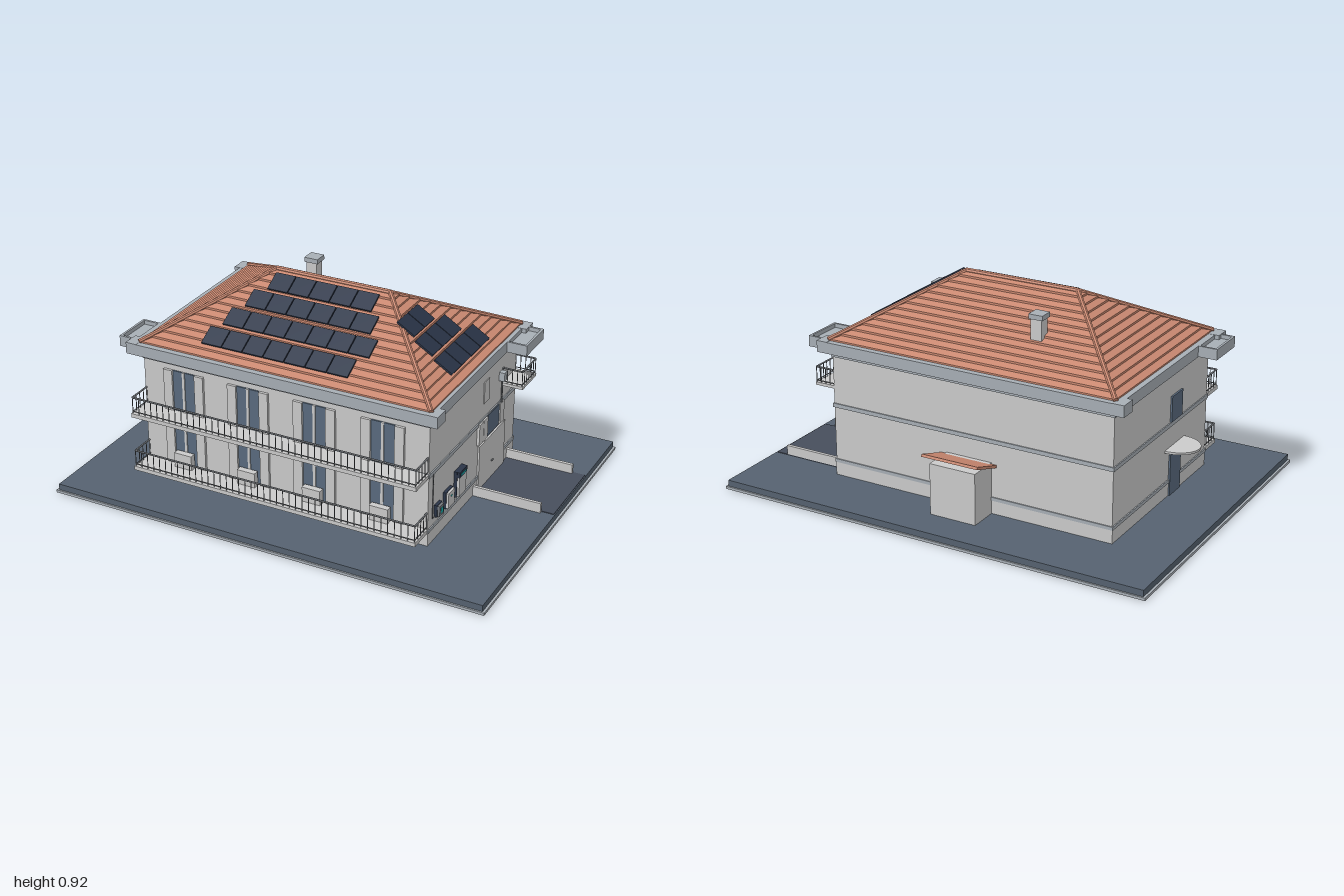
import * as THREE from 'three';
import { mergeGeometries } from 'three/addons/utils/BufferGeometryUtils.js';

const mat = (color, extra = {}) => new THREE.MeshStandardMaterial({ color, ...extra });
const grey = mat(0xcccccc), wall = mat(0xd6d7d9), trim = mat(0xa8afb6), paving = mat(0x566270);
const tile = mat(0xcc8a72, { side: THREE.DoubleSide, flatShading: true });
const glass = mat(0x5a6b7f), dark = mat(0x2b3548), iron = mat(0x777b80), asphalt = mat(0x474e5c), teal = mat(0x20b8b8);

// Box geometry from its minimum and maximum corners
const span = (x0, x1, y0, y1, z0, z1) => new THREE.BoxGeometry(x1 - x0, y1 - y0, z1 - z0)
  .translate((x0 + x1) / 2, (y0 + y1) / 2, (z0 + z1) / 2);

// Round bar between two points
function rod(a, b, r, sides = 8) {
  const A = new THREE.Vector3(...a), B = new THREE.Vector3(...b), d = B.clone().sub(A);
  const g = new THREE.CylinderGeometry(r, r, d.length(), sides);
  g.applyQuaternion(new THREE.Quaternion().setFromUnitVectors(new THREE.Vector3(0, 1, 0), d.normalize()));
  return g.translate(...A.add(B).multiplyScalar(0.5).toArray());
}

export function createModel() {
  const house = new THREE.Group();
  house.name = 'house';
  const add = (name, material, ...geos) => {
    const m = new THREE.Mesh(geos.length > 1 ? mergeGeometries(geos) : geos[0], material);
    m.name = name;
    house.add(m);
    return m;
  };
  const X0 = -0.71, X1 = 0.62, Z = 0.442;

  // Ground
  add('groundSlab', paving, span(-0.99, 0.99, 0.01, 0.04, -0.728, 0.728));
  add('groundLip', trim, span(-1, 1, 0, 0.012, -0.735, 0.735));

  // Walls and horizontal bands
  add('walls', wall, span(X0, X1, 0.04, 0.62, -Z, Z));
  const band = (y0, y1, e) => span(X0 - e, X1 + e, y0, y1, -Z - e, Z + e);
  add('plinth', grey, band(0.04, 0.1, 0.002));
  add('stringCourses', trim, band(0.1, 0.115, 0.005), band(0.355, 0.373, 0.005), band(0.585, 0.612, 0.005));

  // Eaves with wider corner blocks and hollow gutter boxes
  add('eaves', trim, span(-0.745, 0.645, 0.61, 0.66, -0.484, 0.484));
  const blocks = [];
  for (const s of [-1, 1]) {
    const [a, b] = s < 0 ? [-0.484, -0.41] : [0.41, 0.484];
    blocks.push(span(-0.77, -0.72, 0.61, 0.661, a, b), span(0.62, 0.67, 0.61, 0.661, a, b));
  }
  add('eaveCorners', trim, ...blocks);
  const tray = (x0, x1, z0, z1) => {
    const t = 0.01, y0 = 0.612, y1 = 0.66;
    add('eaveTray', trim, span(x0, x1, y0, y0 + 0.03, z0, z1),
      span(x0, x0 + t, y0, y1, z0, z1), span(x1 - t, x1, y0, y1, z0, z1),
      span(x0, x1, y0, y1, z0, z0 + t), span(x0, x1, y0, y1, z1 - t, z1));
  };
  tray(-0.83, -0.74, 0.255, 0.44);
  tray(0.64, 0.735, -0.45, -0.262);

  // Hipped roof of overlapping tile courses
  const BY = 0.658, TY = 0.905, courses = 13, verts = [];
  const ring = (t, lift) => {
    const x0 = THREE.MathUtils.lerp(-0.72, -0.31, t), x1 = THREE.MathUtils.lerp(0.63, 0.225, t);
    const z = 0.457 * (1 - t), y = BY + (TY - BY) * t + lift;
    return [[x0, y, z], [x1, y, z], [x1, y, -z], [x0, y, -z]];
  };
  const skirt = (lo, hi) => {
    for (let i = 0; i < 4; i++) {
      const j = (i + 1) % 4;
      verts.push(...lo[i], ...lo[j], ...hi[j], ...lo[i], ...hi[j], ...hi[i]);
    }
  };
  for (let i = 0; i < courses; i++) {
    const t0 = i / courses, t1 = (i + 1) / courses;
    skirt(ring(t0, 0), ring(t0, 0.009));
    skirt(ring(t0, 0.009), ring(t1, 0));
  }
  const roof = new THREE.BufferGeometry();
  roof.setAttribute('position', new THREE.Float32BufferAttribute(verts, 3));
  roof.computeVertexNormals();
  add('roofTiles', tile, roof);
  const ridgeL = [-0.31, TY, 0], ridgeR = [0.225, TY, 0], caps = [rod(ridgeL, ridgeR, 0.012)];
  for (const s of [-1, 1]) {
    caps.push(rod([-0.72, BY + 0.006, s * 0.457], ridgeL, 0.011), rod([0.63, BY + 0.006, s * 0.457], ridgeR, 0.011));
  }
  add('ridgeTiles', tile, ...caps);

  // Chimney
  add('chimney', grey, span(-0.29, -0.24, 0.74, 0.86, -0.272, -0.222));
  add('chimneyCap', trim, span(-0.297, -0.233, 0.855, 0.876, -0.279, -0.215));

  // Solar panels: [count, start, end, height]
  const panels = (rows, side) => rows.forEach(([n, a, b, y]) => {
    const w = (b - a) / n, run = side ? 0.405 : 0.457, tilt = Math.atan(0.247 / run);
    const out = (side ? 0.225 : 0) + run * (TY - y) / 0.247 + 0.008;
    const geos = [];
    for (let i = 0; i < n; i++) {
      const g = side ? new THREE.BoxGeometry(0.092, 0.008, w - 0.004) : new THREE.BoxGeometry(w - 0.004, 0.008, 0.09);
      const c = a + (i + 0.5) * w;
      side ? g.rotateZ(-tilt).translate(out, y + 0.01, c) : g.rotateX(tilt).translate(c, y + 0.01, out);
      geos.push(g);
    }
    add(side ? 'sideSolarRow' : 'frontSolarRow', dark, ...geos);
  });
  panels([[5, -0.295, 0.195, 0.869], [6, -0.35, 0.24, 0.818], [7, -0.4, 0.285, 0.764], [7, -0.445, 0.24, 0.71]], false);
  panels([[2, -0.04, 0.155, 0.822], [3, -0.11, 0.175, 0.766], [4, -0.19, 0.19, 0.709]], true);

  // Railing along a list of ground-plan points
  const railing = (pts, y0, y1, step) => {
    const geos = [];
    for (let k = 0; k + 1 < pts.length; k++) {
      const [ax, az] = pts[k], [bx, bz] = pts[k + 1];
      const n = Math.round(Math.hypot(bx - ax, bz - az) / step);
      geos.push(rod([ax, y1, az], [bx, y1, bz], 0.004, 6), rod([ax, y0 + 0.012, az], [bx, y0 + 0.012, bz], 0.002, 6));
      for (let i = 0; i <= n; i++) {
        const x = ax + (bx - ax) * i / n, z = az + (bz - az) * i / n;
        geos.push(rod([x, y0, z], [x, y1, z], 0.002, 5));
      }
    }
    add('railing', iron, ...geos);
  };

  // Front balconies, with windows, open shutters, low boxes and cellar vents
  [[0.115, 0.31, 0.1], [0.37, 0.56, 0.355]].forEach(([y0, y1, slab], floor) => {
    add('balconySlab', grey, span(X0, X1, slab, slab + 0.018, Z - 0.01, 0.56));
    railing([[X0 + 0.005, Z], [X0 + 0.005, 0.553], [X1 - 0.005, 0.553], [X1 - 0.005, Z]], slab + 0.015, slab + 0.092, 0.03);
    for (let i = 0; i < 4; i++) {
      const c = -0.513 + i * 0.31;
      add('windowGlass', glass, span(c - 0.052, c + 0.052, y0, y1, Z, Z + 0.006));
      add('windowMullion', grey, span(c - 0.006, c + 0.006, y0, y1, Z, Z + 0.01));
      add('shutters', wall, span(c - 0.096, c - 0.054, y0, y1, Z, Z + 0.012), span(c + 0.054, c + 0.096, y0, y1, Z, Z + 0.012));
      if (floor === 0) {
        add('balconyBox', grey, span(c - 0.042, c + 0.042, 0.118, 0.185, Z + 0.012, Z + 0.04));
        add('cellarVent', glass, span(c - 0.037, c + 0.037, 0.06, 0.083, Z, Z + 0.006));
      }
    }
  });

  // Driveway, garage door and window on the left side
  add('driveway', asphalt, span(X1, 0.985, 0.04, 0.043, -0.385, -0.02));
  add('drivewayWalls', grey, span(X1, 0.93, 0.04, 0.085, -0.02, -0.006), span(X1, 0.93, 0.04, 0.085, -0.385, -0.37));
  add('garageDoor', grey, span(X1, X1 + 0.008, 0.043, 0.255, -0.325, -0.05));
  add('garageHandle', iron, span(X1, X1 + 0.014, 0.122, 0.127, -0.195, -0.18));
  add('sideWindow', glass, span(X1, X1 + 0.008, 0.268, 0.367, -0.25, -0.13));
  add('sideShutters', wall, span(X1, X1 + 0.012, 0.268, 0.367, -0.076, -0.033),
    span(X1, X1 + 0.012, 0.268, 0.367, -0.122, -0.079), span(X1, X1 + 0.012, 0.268, 0.367, -0.297, -0.253));
  add('wallHatch', wall, span(X1, X1 + 0.004, 0.44, 0.54, -0.143, -0.09));

  // Small side balcony and flue
  add('sideBalconySlab', grey, span(X1, 0.715, 0.437, 0.45, -0.44, -0.287));
  railing([[X1, -0.29], [0.711, -0.29], [0.711, -0.437], [X1, -0.437]], 0.447, 0.52, 0.024);
  add('flueBox', trim, span(X1, X1 + 0.025, 0.475, 0.515, -0.28, -0.252));
  add('fluePipe', iron, rod([X1 + 0.01, 0.368, -0.266], [X1 + 0.01, 0.48, -0.266], 0.004));

  // Wall units for power, with cabling
  [[0.34, 0.38, 0.148, 0.197, iron], [0.235, 0.295, 0.142, 0.212, grey], [0.12, 0.19, 0.142, 0.255, grey]]
    .forEach(([z0, z1, y0, y1, m]) => {
      add('wallUnitBack', dark, span(X1, X1 + 0.014, y0 - 0.003, y1 + 0.003, z0 - 0.003, z1 + 0.003));
      add('wallUnit', m, span(X1, X1 + 0.024, y0, y1, z0, z1));
    });
  add('wallUnitTop', dark, span(X1, X1 + 0.026, 0.232, 0.258, 0.118, 0.192));
  add('displays', teal, span(X1, X1 + 0.028, 0.24, 0.246, 0.13, 0.18), span(X1, X1 + 0.026, 0.16, 0.185, 0.35, 0.37),
    span(X1, X1 + 0.026, 0.19, 0.194, 0.26, 0.272));
  const cx = X1 + 0.004;
  add('cables', iron, rod([cx, 0.134, 0.36], [cx, 0.134, 0.155], 0.002, 5), rod([cx, 0.134, 0.36], [cx, 0.15, 0.36], 0.002, 5),
    rod([cx, 0.15, 0.406], [cx, 0.36, 0.406], 0.002, 5), rod([cx, 0.15, 0.406], [cx, 0.15, 0.375], 0.002, 5));

  // Entrance door, canopy and window on the right side
  add('entranceDoor', glass, span(X0 - 0.008, X0, 0.04, 0.225, 0.075, 0.178));
  add('landingWindow', glass, span(X0 - 0.008, X0, 0.375, 0.49, 0.075, 0.178));
  const canopy = add('canopy', grey, new THREE.CylinderGeometry(1, 1, 0.01, 32, 1, false, Math.PI, Math.PI));
  canopy.scale.set(0.115, 1, 0.095);
  canopy.position.set(X0, 0.255, 0.127);

  // Rear lean-to with tiled roof
  add('leanTo', wall, span(-0.155, 0.06, 0.04, 0.268, -0.575, -Z));
  const lid = add('leanToRoof', tile, new THREE.BoxGeometry(0.265, 0.012, 0.165));
  lid.position.set(-0.047, 0.281, -0.517);
  lid.rotation.x = Math.atan(0.05 / 0.15);

  return house;
}
